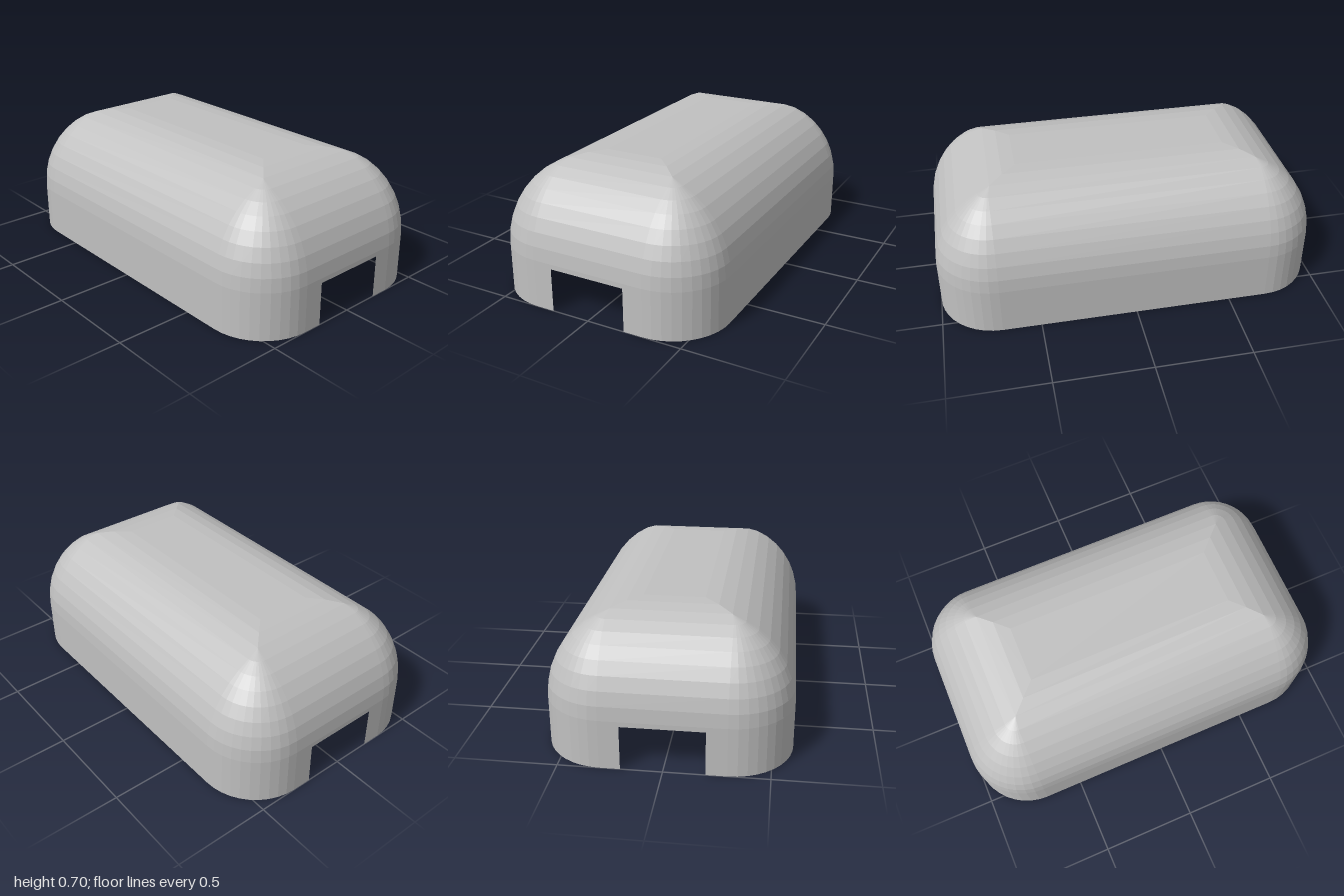
import * as THREE from 'three';

const STEPS = 10;                       // facets per quarter turn
const HALF_X = 1, HALF_Z = 0.6;         // footprint
const CORNER = 0.3;                     // plan corner radius
const SPRING = 0.25, BEND = 0.45;       // wall height and roof edge radius
const NOTCH_Z = 0.2, NOTCH_Y = 0.225;   // cable opening

// Rounded rectangle, shrunk by an inset; corners turn sharp once the radius is used up
function ring(y, inset) {
  const points = [];
  const r = Math.max(CORNER - inset, 0);
  [[1, 1], [-1, 1], [-1, -1], [1, -1]].forEach(([sx, sz], k) => {
    for (let i = 0; i <= STEPS; i++) {
      const a = (k + i / STEPS) * Math.PI / 2;
      points.push([
        sx * (HALF_X - inset - r) + r * Math.cos(a),
        y,
        sz * (HALF_Z - inset - r) + r * Math.sin(a),
      ]);
    }
  });
  return points;
}

// Joins successive rings with quads, leaving out the segments that skip() names
function loft(rings, skip = () => false) {
  const positions = [];
  for (let j = 0; j + 1 < rings.length; j++) {
    const low = rings[j], high = rings[j + 1], n = low.length;
    for (let i = 0; i < n; i++) {
      if (skip(i)) continue;
      const k = (i + 1) % n;
      positions.push(...low[i], ...high[i], ...low[k], ...low[k], ...high[i], ...high[k]);
    }
  }
  const geometry = new THREE.BufferGeometry();
  geometry.setAttribute('position', new THREE.Float32BufferAttribute(positions, 3));
  geometry.computeVertexNormals();
  return geometry;
}

export function createModel() {
  const model = new THREE.Group();
  model.name = 'cover';
  const shell = new THREE.MeshStandardMaterial({
    name: 'light grey', color: 0xc0c0c0, flatShading: true, side: THREE.DoubleSide,
  });
  const add = (name, geometry) => {
    const mesh = new THREE.Mesh(geometry, shell);
    mesh.name = name;
    model.add(mesh);
    return mesh;
  };

  // Upright walls and corners, open at both ends
  const perCorner = STEPS + 1;
  const isEnd = (i) => i === 2 * perCorner - 1 || i === 4 * perCorner - 1;
  add('sideWalls', loft([ring(0, 0), ring(SPRING, 0)], isEnd));

  // Curved roof edge
  const bend = [];
  for (let j = 0; j <= STEPS; j++) {
    const a = (j / STEPS) * Math.PI / 2;
    bend.push(ring(SPRING + BEND * Math.sin(a), BEND * (1 - Math.cos(a))));
  }
  add('roofEdge', loft(bend));

  // Flat roof
  const roof = new THREE.PlaneGeometry(2 * (HALF_X - BEND), 2 * (HALF_Z - BEND));
  roof.rotateX(-Math.PI / 2);
  add('roof', roof).position.y = SPRING + BEND;

  // End walls with a square opening
  const w = HALF_Z - CORNER;
  const outline = new THREE.Shape([
    [-w, 0], [-NOTCH_Z, 0], [-NOTCH_Z, NOTCH_Y], [NOTCH_Z, NOTCH_Y],
    [NOTCH_Z, 0], [w, 0], [w, SPRING], [-w, SPRING],
  ].map(([x, y]) => new THREE.Vector2(x, y)));
  for (const side of [1, -1]) {
    const wall = add(side > 0 ? 'leftEndWall' : 'rightEndWall', new THREE.ShapeGeometry(outline));
    wall.rotation.y = side * Math.PI / 2;
    wall.position.x = side * HALF_X;
  }
  return model;
}
